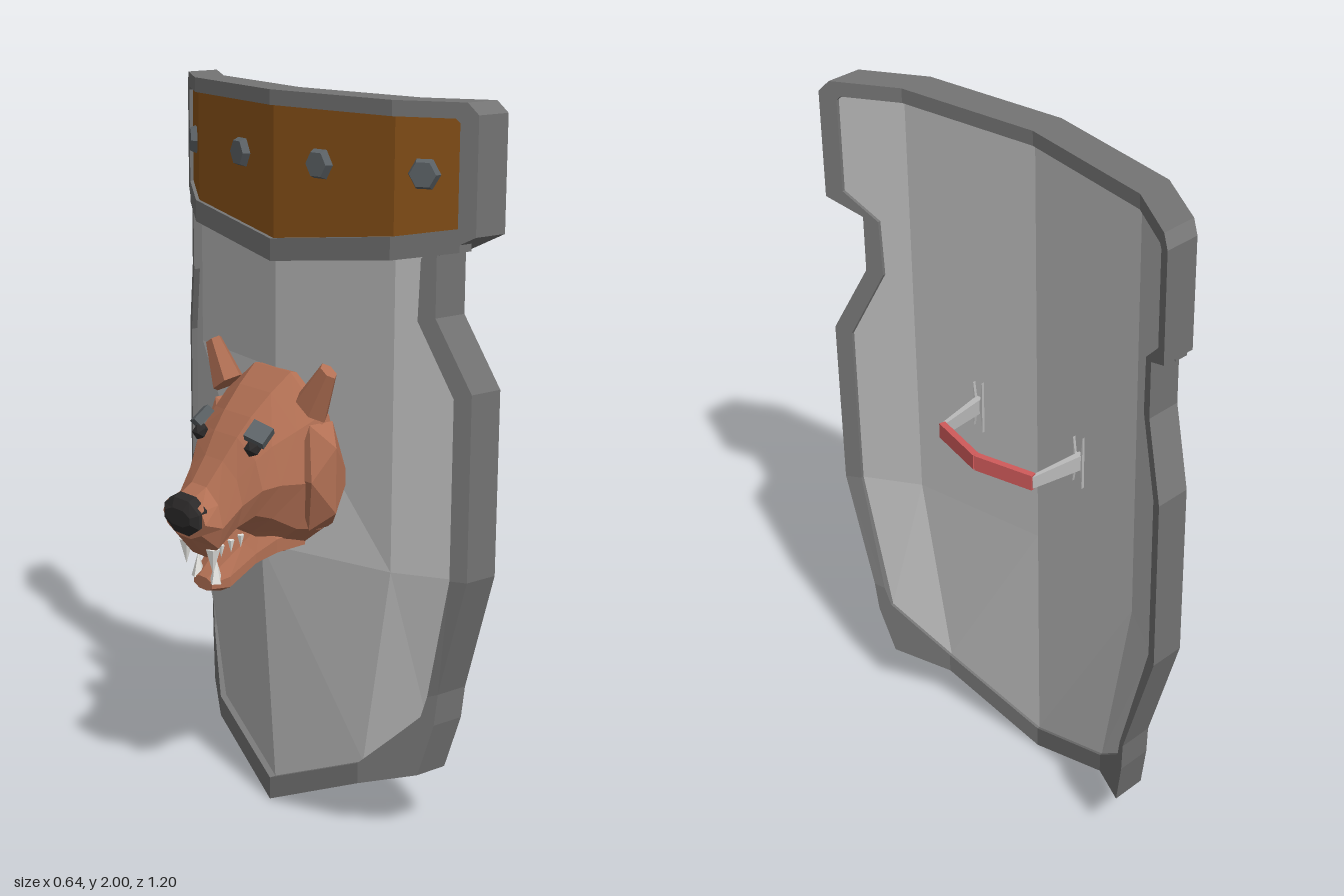
import * as THREE from 'three';

const mat = (name, color, flat = true) => {
  const m = new THREE.MeshStandardMaterial({ color, flatShading: flat, side: THREE.DoubleSide });
  m.name = name;
  return m;
};
const M = {
  rim: mat('dark steel', 0x747474),
  panel: mat('light steel', 0xbababa),
  leather: mat('leather', 0x8a5218),
  fur: mat('brown fur', 0xb27054),
  nose: mat('nose black', 0x2c2a2a),
  iron: mat('iron', 0x5c6266),
  grip: mat('red grip', 0xd05a5a),
  tooth: mat('tooth white', 0xe6e6e2),
};

// Flat-shaded skin through a list of rings of [x, y, z] points
function loft(rings, { closed = false, open = false, caps = false } = {}) {
  const pos = [], n = rings[0].length;
  const tri = (a, b, c) => pos.push(...a, ...b, ...c);
  for (let i = 0; i < rings.length - (closed ? 0 : 1); i++) {
    const r = rings[i], s = rings[(i + 1) % rings.length];
    for (let k = 0; k < n - (open ? 1 : 0); k++) {
      const l = (k + 1) % n;
      tri(r[k], s[k], s[l]);
      tri(r[k], s[l], r[l]);
    }
  }
  if (caps) {
    const a = rings[0], b = rings[rings.length - 1];
    for (let k = 1; k < n - 1; k++) {
      tri(a[0], a[k], a[k + 1]);
      tri(b[0], b[k + 1], b[k]);
    }
  }
  const g = new THREE.BufferGeometry();
  g.setAttribute('position', new THREE.Float32BufferAttribute(pos, 3));
  g.computeVertexNormals();
  return g;
}

// Depth of the folded shield's back face at distance z from the middle
function curve(z, fold = 0.41) {
  const a = Math.abs(z);
  return a < fold ? 0.09 + 0.06 * a / fold : 0.15 + 0.115 * Math.min(1, (a - fold) / 0.19);
}
const foldAt = y => THREE.MathUtils.clamp(0.31 + 0.1 * (y - 0.43) / 0.34, 0.31, 0.41);

// Head rings: [x, top, bottom, half width]
function headRings(rows, sides = 10) {
  return rows.map(([x, top, bottom, w]) => Array.from({ length: sides }, (_, k) => {
    const t = (k + 0.5) / sides * Math.PI * 2;
    const c = Math.cos(t) / Math.cos(Math.PI / sides);
    return [x, (top + bottom) / 2 + c * (top - bottom) / 2, Math.sin(t) * w];
  }));
}

// Tapered bar between two points, with [height, thickness] at each end
function bar(a, b, sa, sb) {
  const A = new THREE.Vector3(...a), B = new THREE.Vector3(...b);
  const side = B.clone().sub(A).cross(new THREE.Vector3(0, 1, 0)).normalize();
  const ring = (p, [h, t]) => [[-1, -1], [1, -1], [1, 1], [-1, 1]].map(([u, v]) =>
    [p.x + side.x * u * t / 2, p.y + v * h / 2, p.z + side.z * u * t / 2]);
  return loft([ring(B, sb), ring(A, sa)], { caps: true });
}

export function createModel() {
  const root = new THREE.Group();
  root.name = 'shield';
  const add = (name, geo, m, parent = root) => {
    const mesh = new THREE.Mesh(geo, m);
    mesh.name = name;
    parent.add(mesh);
    return mesh;
  };

  // Rim: [outer z, outer y, inner z, inner y] down one side
  const half = [
    [0, 2, 0, 1.96], [0.41, 2, 0.41, 1.96], [0.575, 2, 0.55, 1.96], [0.6, 1.97, 0.56, 1.95],
    [0.6, 1.67, 0.56, 1.69], [0.515, 1.62, 0.48, 1.61], [0.515, 1.46, 0.475, 1.45],
    [0.6, 1.27, 0.56, 1.255], [0.6, 0.77, 0.56, 0.77], [0.5, 0.43, 0.475, 0.42],
    [0.492, 0.34, 0.46, 0.36], [0.455, 0.19, 0.4, 0.295], [0.31, 0.14, 0.31, 0.2], [0, 0, 0, 0.065],
  ];
  const outline = [...half, ...half.slice(1, -1).reverse().map(([a, b, c, d]) => [-a, b, -c, d])];
  add('rim', loft(outline.map(([zo, yo, zi, yi]) => {
    const f = foldAt(yo), o = curve(zo, f), i = curve(zi, f);
    return [[o - 0.1, yo, zo], [o, yo, zo], [i, yi, zi], [i - 0.1, yi, zi]];
  }), { closed: true }), M.rim);

  // Panel rows: [edge z, edge y, fold z, fold y, middle y, middle bulge]
  const rows = [
    [0.56, 1.97, 0.41, 1.97, 1.97, 0], [0.56, 1.69, 0.41, 1.69, 1.69, 0], [0.48, 1.61, 0.41, 1.61, 1.61, 0],
    [0.475, 1.45, 0.41, 1.45, 1.45, 0], [0.56, 1.255, 0.41, 1.255, 1.255, 0],
    [0.56, 0.77, 0.41, 0.77, 0.77, 0.05], [0.46, 0.36, 0.31, 0.2, 0.065, 0],
  ];
  const panel = (shift, bulge) => loft(rows.map(([e, ey, f, fy, my, b]) =>
    [[-e, ey], [-f, fy], [0, my], [f, fy], [e, ey]].map(([z, y]) =>
      [curve(z, f) + shift - (z === 0 ? b * bulge : 0), y, z])), { open: true });
  add('frontPanel', panel(-0.08, 1), M.panel);
  add('backPanel', panel(-0.008, 0), M.panel);

  // Leather band and the bar under it
  const across = [-0.56, -0.41, 0, 0.41, 0.56];
  add('leatherBand', loft([1.96, 1.64].map(y => across.map(z =>
    [curve(z) - 0.088, y - (y < 1.7 && z === 0 ? 0.05 : 0), z])), { open: true }), M.leather);
  add('crossBar', loft([[-0.565, 1.63], [-0.41, 1.6], [0, 1.55], [0.41, 1.6], [0.565, 1.63]].map(([z, y]) => {
    const x = curve(z);
    return [[x - 0.1, y, z], [x - 0.1, y + 0.06, z], [x - 0.06, y + 0.06, z], [x - 0.06, y, z]];
  }), { caps: true }), M.rim);
  for (const z of [-0.48, -0.165, 0.165, 0.48]) {
    const s = add('stud', new THREE.CylinderGeometry(0.035, 0.045, 0.022, 6), M.iron);
    s.position.set(curve(z) - 0.096, 1.82, z);
    s.rotation.set(0, -Math.sign(z) * (Math.abs(z) > 0.41 ? -0.54 : -0.145), Math.PI / 2);
  }

  // Handle
  const handle = new THREE.Group();
  handle.name = 'handle';
  root.add(handle);
  const plate = new THREE.Shape([[-0.018, -0.07], [-0.01, -0.022], [0.01, -0.022], [0.016, -0.08],
    [0.018, 0.08], [0.01, 0.022], [-0.01, 0.022], [-0.016, 0.07]].map(p => new THREE.Vector2(...p)));
  for (const s of [-1, 1]) {
    add('gripBar', bar([0.267, 1.132, s * 0.172], [0.307, 1.132, 0], [0.045, 0.018], [0.045, 0.018]), M.grip, handle);
    add('handleArm', bar([0.11, 1.132, s * 0.192], [0.272, 1.132, s * 0.17], [0.045, 0.02], [0.035, 0.01]), M.panel, handle);
    const p = add('handlePlate', new THREE.ExtrudeGeometry(plate, { depth: 0.008, bevelEnabled: false }), M.panel, handle);
    p.rotation.y = Math.PI / 2;
    p.position.set(0.114, 1.132, s * 0.188);
  }

  // Bear head
  const head = new THREE.Group();
  head.name = 'bearHead';
  root.add(head);
  add('skull', loft(headRings([
    [0.06, 1.25, 0.76, 0.23], [0, 1.26, 0.755, 0.25], [-0.06, 1.21, 0.775, 0.22], [-0.12, 1.15, 0.83, 0.185],
    [-0.16, 1.1, 0.855, 0.16], [-0.2, 1.04, 0.83, 0.125], [-0.25, 0.975, 0.78, 0.105], [-0.3, 0.945, 0.84, 0.095],
  ]), { caps: true }), M.fur, head);
  add('nose', loft(headRings([
    [-0.285, 0.955, 0.865, 0.09], [-0.308, 0.945, 0.85, 0.085], [-0.322, 0.92, 0.875, 0.06],
  ], 8), { caps: true }), M.nose, head);
  add('lowerJaw', loft(headRings([
    [0.03, 0.88, 0.765, 0.16], [-0.08, 0.845, 0.755, 0.13], [-0.13, 0.8, 0.735, 0.1],
    [-0.2, 0.745, 0.675, 0.075], [-0.24, 0.715, 0.68, 0.045],
  ], 8), { caps: true }), M.fur, head);

  const tooth = (x, y, z, h, dir) => {
    const t = add('tooth', new THREE.ConeGeometry(h * 0.28, h, 5), M.tooth, head);
    t.position.set(x, y + dir * h / 2, z);
    if (dir < 0) t.rotation.x = Math.PI;
  };
  for (const s of [-1, 1]) {
    // Fangs and cheek teeth
    tooth(-0.25, 0.81, s * 0.06, 0.07, -1);
    tooth(-0.225, 0.705, s * 0.04, 0.07, 1);
    for (let i = 0; i < 3; i++) tooth(-0.23 + i * 0.025, 0.82 + i * 0.012, s * (0.07 + i * 0.01), 0.035, -1);

    // Ears
    const ear = add('ear', new THREE.CylinderGeometry(0.03, 0.06, 0.13, 6), M.fur, head);
    ear.scale.x = 0.65;
    ear.position.set(-0.012, 1.24, s * 0.215);
    ear.rotation.x = s * 0.55;
    // Cheek ruff
    const ruff = add('cheek', new THREE.IcosahedronGeometry(0.1, 0), M.fur, head);
    ruff.scale.set(0.75, 1.7, 0.75);
    ruff.position.set(0, 1.0, s * 0.205);

    // Eyes under heavy brows
    const eye = add('eye', new THREE.IcosahedronGeometry(0.024, 0), M.nose, head);
    eye.position.set(-0.158, 1.083, s * 0.115);
    const brow = add('brow', new THREE.BoxGeometry(0.055, 0.026, 0.06), M.iron, head);
    brow.position.set(-0.145, 1.122, s * 0.125);
    brow.rotation.set(s * 0.35, s * 0.4, 0.6);
  }
  return root;
}
